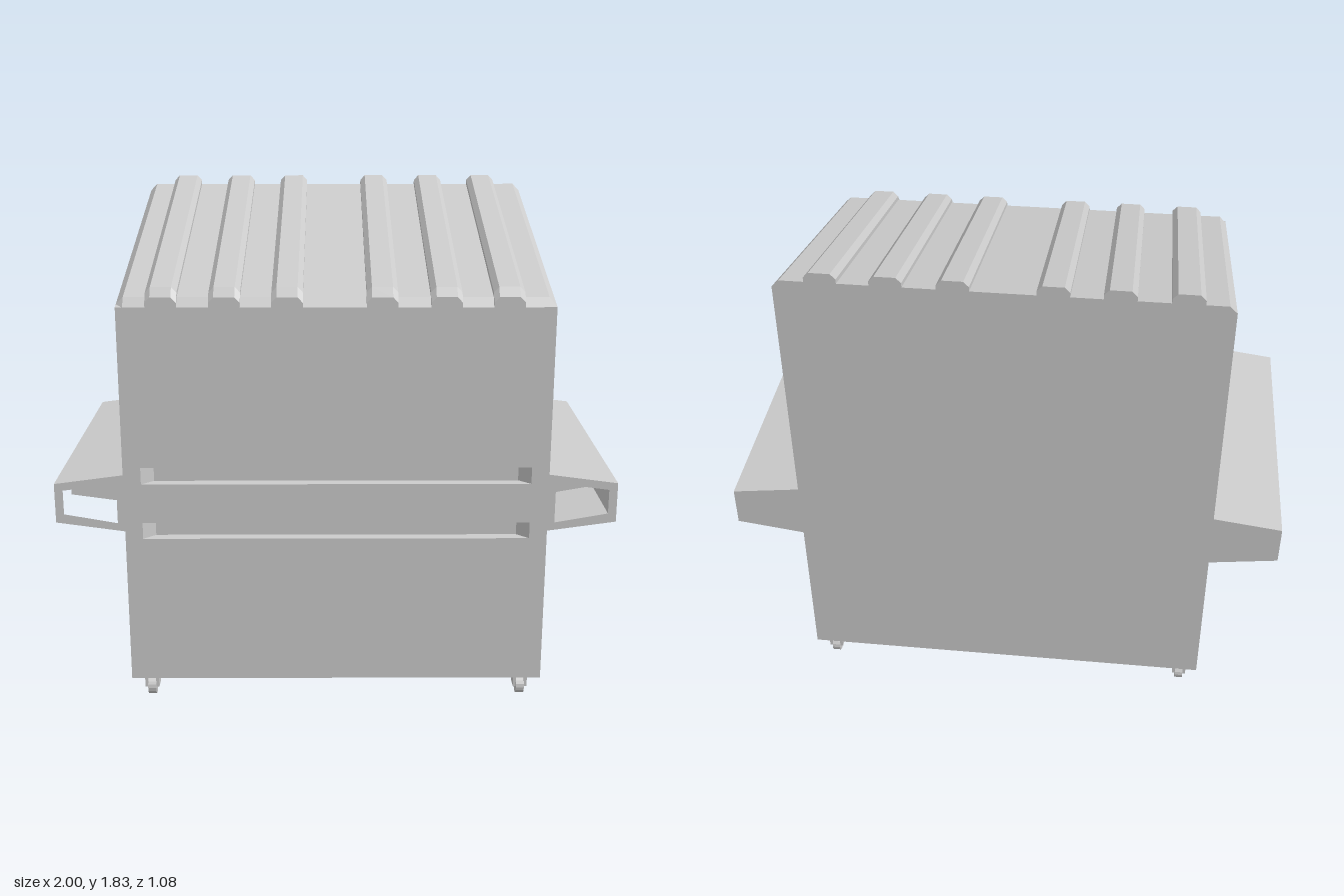
import * as THREE from 'three';

const material = new THREE.MeshStandardMaterial({ color: 0xcccccc, flatShading: true });
const W = 0.755, D = 0.54, FLOOR = 0.1;
const slope = (z) => 1.63 - 0.25 * z; // height of the lid's lower edge

function add(parent, name, geometry, x = 0, y = 0, z = 0) {
  const mesh = new THREE.Mesh(geometry, material);
  mesh.name = name;
  mesh.position.set(x, y, z);
  parent.add(mesh);
  return mesh;
}

const shapeOf = (points) => new THREE.Shape(points.map(([x, y]) => new THREE.Vector2(x, y)));

function extrude(shape, depth, steps = 1) {
  return new THREE.ExtrudeGeometry(shape, { depth, steps, bevelEnabled: false });
}

function rectangle(x0, x1, y0, y1) {
  return shapeOf([[x0, y0], [x1, y0], [x1, y1], [x0, y1]]);
}

// Ribbed lid: one cross-section run down the slope, bevelled at the front edge
function lidGeometry() {
  const points = [[-W, -0.03], [-W, 0], [-0.73, 0.025]];
  for (const c of [-0.6, -0.383, -0.168, 0.158, 0.378, 0.593]) {
    points.push([c - 0.054, 0.025], [c - 0.054, 0.041], [c - 0.036, 0.06],
      [c + 0.036, 0.06], [c + 0.054, 0.041], [c + 0.054, 0.025]);
  }
  points.push([0.73, 0.025], [W, 0], [W, -0.03]);
  const geometry = extrude(shapeOf(points), 2, 2);
  const rows = [-D, 0.515, D];
  const p = geometry.attributes.position;
  for (let i = 0; i < p.count; i++) {
    const row = Math.round(p.getZ(i));
    let h = p.getY(i);
    if (row === 2 && h > 0) h = Math.max(h - 0.025, 0);
    p.setXYZ(i, p.getX(i), slope(rows[row]) + h, rows[row]);
  }
  geometry.computeVertexNormals();
  return geometry;
}

// Tapered side sleeve, open at the front and closed at the back
function sleeve(side) {
  const group = new THREE.Group();
  group.name = side > 0 ? 'leftForkSleeve' : 'rightForkSleeve';
  const outline = () => shapeOf([[0.75, 0.68], [1, 0.715], [1, 0.86], [0.75, 0.893]]
    .map(([x, y]) => [side * x, y]));
  const opening = shapeOf([[0.78, 0.712], [0.97, 0.746], [0.97, 0.835], [0.78, 0.86]]
    .map(([x, y]) => [side * x, y]));
  const depth = 0.3;
  const mouth = outline();
  mouth.holes.push(opening);
  add(group, 'sleeveMouth', extrude(mouth, depth), 0, 0, D - depth);
  add(group, 'sleeveBack', extrude(outline(), 2 * D - depth), 0, 0, -D);
  return group;
}

function caster(x, z) {
  const group = new THREE.Group();
  group.name = 'caster';
  group.position.set(x, 0, z);
  add(group, 'casterMount', new THREE.BoxGeometry(0.052, 0.03, 0.05), 0, 0.088, 0);
  for (const s of [-1, 1]) {
    add(group, 'casterFork', new THREE.BoxGeometry(0.011, 0.05, 0.05), s * 0.0205, 0.06, 0);
  }
  const wheel = new THREE.CylinderGeometry(0.033, 0.033, 0.03, 16).rotateZ(Math.PI / 2);
  add(group, 'casterWheel', wheel, 0, 0.033, 0);
  return group;
}

export function createModel() {
  const model = new THREE.Group();
  model.name = 'wheeledContainer';

  // Main body with sloping top
  const recess = 0.04, front = D - recess;
  const profile = shapeOf([[-D, FLOOR], [front, FLOOR], [front, slope(front) - 0.03], [-D, slope(-D) - 0.03]]);
  add(model, 'body', extrude(profile, 2 * W).rotateY(-Math.PI / 2), W);

  // Front wall with two long grooves, each with slanted ends
  const wall = rectangle(-W, W, FLOOR, slope(D) - 0.03);
  for (const [y0, y1] of [[0.652, 0.713], [0.858, 0.919]]) {
    wall.holes.push(rectangle(-0.692, 0.692, y0, y1));
    for (const s of [-1, 1]) {
      const wedge = shapeOf([[s * 0.692, -front], [s * 0.692, -D], [s * 0.65, -front]]);
      add(model, 'grooveEnd', extrude(wedge, y1 - y0).rotateX(-Math.PI / 2), 0, y0, 0);
    }
  }
  add(model, 'frontWall', extrude(wall, recess), 0, 0, front);

  add(model, 'lid', lidGeometry());
  for (const s of [-1, 1]) {
    model.add(sleeve(s));
    for (const z of [0.457, -0.478]) model.add(caster(s * 0.69, z));
  }
  return model;
}
